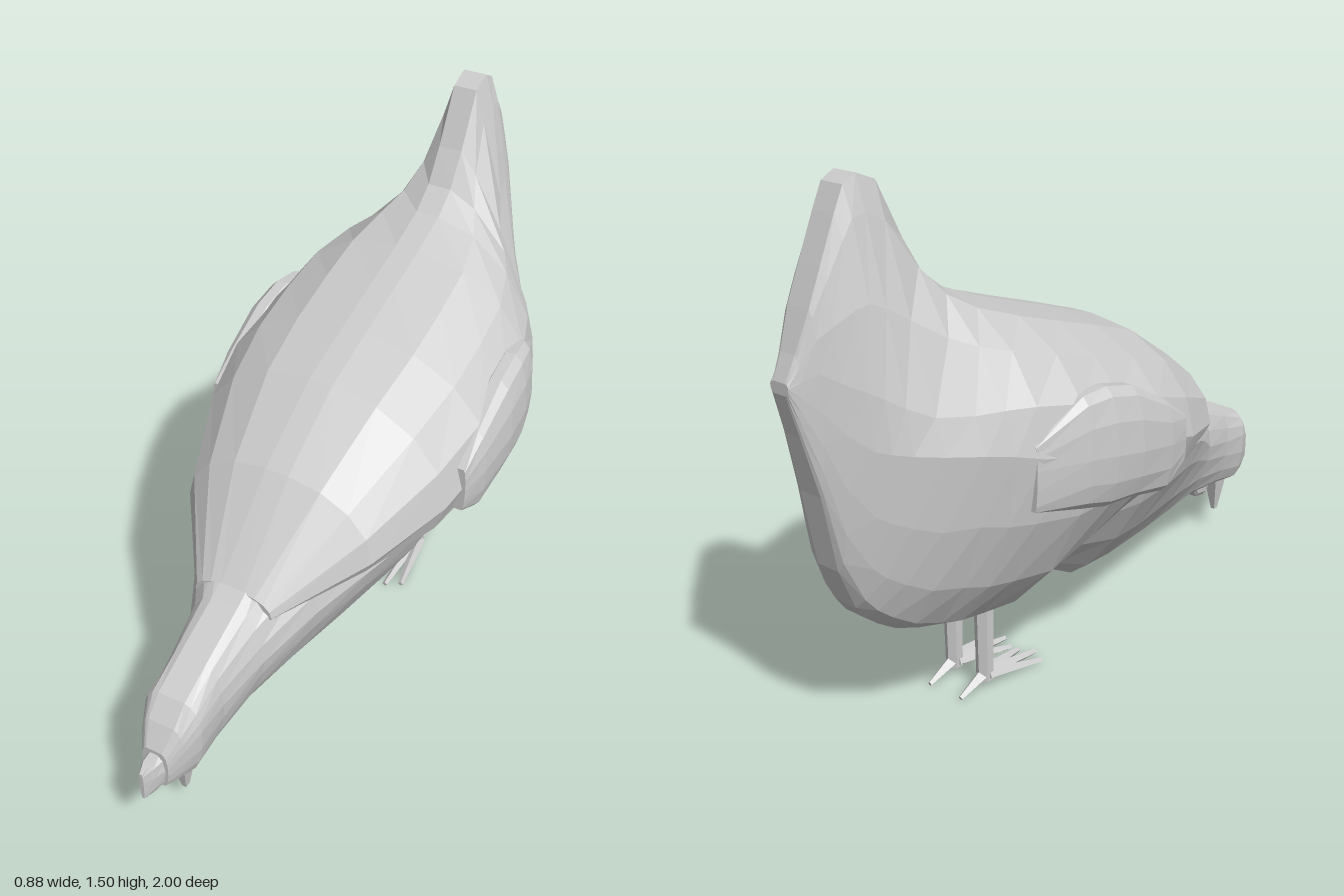
import * as THREE from 'three';

const mat = new THREE.MeshStandardMaterial({ color: 0xcccccc, flatShading: true, side: THREE.DoubleSide });

function add(parent, name, geometry) {
  const mesh = new THREE.Mesh(geometry, mat);
  mesh.name = name;
  parent.add(mesh);
  return mesh;
}

// Skin over rounded cross-sections, listed from front (+z) to back.
// Section: [z, bottom, top, halfWidth, widestY, upperPower, lowerPower, centreX]
// Power 1 is an ellipse, 2 a diamond, more is concave.
function loft(sections, flat = 0.03, steps = 4) {
  const pos = [], idx = [];
  const n = (steps * 2 + 1) * 2;
  for (const [z, bottom, top, w, mid, up = 1, low = 1, cx = 0] of sections) {
    const f = Math.min(flat, w * 0.6);
    const side = [];
    for (let k = -steps; k <= steps; k++) {
      const a = (k / steps) * Math.PI / 2;
      const e = k < 0 ? up : low;
      const x = f + (w - f) * Math.pow(Math.max(0, Math.cos(a)), e);
      const s = Math.pow(Math.abs(Math.sin(a)), e);
      side.push([x, k < 0 ? mid + (top - mid) * s : mid - (mid - bottom) * s]);
    }
    for (const [x, y] of side) pos.push(cx + x, y, z);
    for (const [x, y] of side.reverse()) pos.push(cx - x, y, z);
  }
  const last = sections.length - 1;
  for (let i = 0; i < last; i++) {
    for (let j = 0; j < n; j++) {
      const a = i * n + j, b = i * n + (j + 1) % n;
      idx.push(a, b, a + n, b, b + n, a + n);
    }
  }
  // End caps
  for (const [row, front] of [[0, true], [last, false]]) {
    const [z, , , , mid, , , cx = 0] = sections[row];
    const c = pos.length / 3;
    pos.push(cx, mid, z);
    for (let j = 0; j < n; j++) {
      const a = row * n + j, b = row * n + (j + 1) % n;
      if (front) idx.push(c, b, a); else idx.push(c, a, b);
    }
  }
  const g = new THREE.BufferGeometry();
  g.setAttribute('position', new THREE.Float32BufferAttribute(pos, 3));
  g.setIndex(idx);
  const flatGeo = g.toNonIndexed();
  flatGeo.computeVertexNormals();
  return flatGeo;
}

// Tapered rod between two points
function rod(parent, name, from, to, r0, r1, sides = 5) {
  const a = new THREE.Vector3(...from), b = new THREE.Vector3(...to);
  const d = b.clone().sub(a);
  const mesh = add(parent, name, new THREE.CylinderGeometry(r1, r0, d.length(), sides));
  mesh.position.copy(a).add(b).multiplyScalar(0.5);
  mesh.quaternion.setFromUnitVectors(new THREE.Vector3(0, 1, 0), d.normalize());
  return mesh;
}

export function createModel() {
  const hen = new THREE.Group();
  hen.name = 'hen';

  // Back, rump and upright tail; its front edge overhangs the neck
  add(hen, 'bodyAndTail', loft([
    [0.56, 0.50, 0.57, 0.12, 0.52],
    [0.33, 0.52, 0.80, 0.29, 0.61],
    [0.10, 0.44, 0.95, 0.385, 0.67, 1, 1.1],
    [-0.08, 0.38, 1.015, 0.42, 0.73, 1, 1.2],
    [-0.24, 0.31, 1.07, 0.42, 0.76, 1, 1.2],
    [-0.38, 0.24, 1.12, 0.405, 0.78, 1, 1.2],
    [-0.50, 0.255, 1.17, 0.36, 0.80, 1.1, 1.15],
    [-0.57, 0.265, 1.225, 0.325, 0.82, 1.35, 1.1],
    [-0.63, 0.28, 1.32, 0.285, 0.83, 1.7, 1.1],
    [-0.71, 0.315, 1.475, 0.23, 0.84, 2, 1],
    [-0.77, 0.355, 1.50, 0.185, 0.85, 1.8, 1],
    [-0.81, 0.39, 1.48, 0.155, 0.86, 1.6, 1],
    [-0.84, 0.43, 1.42, 0.13, 0.87, 1.4, 1],
    [-0.89, 0.55, 1.31, 0.09, 0.92, 1.2, 1],
    [-0.93, 0.76, 1.22, 0.06, 0.98, 1, 1],
    [-0.97, 0.92, 1.12, 0.04, 1.02, 1, 1],
    [-1.0, 1.03, 1.06, 0.03, 1.05, 1, 1],
  ], 0.035));

  // Head, neck and narrow breast
  add(hen, 'headNeckAndBreast', loft([
    [0.94, 0.20, 0.32, 0.04, 0.27],
    [0.90, 0.20, 0.38, 0.065, 0.31],
    [0.85, 0.185, 0.43, 0.088, 0.35],
    [0.75, 0.20, 0.48, 0.09, 0.36, 1, 1.2],
    [0.60, 0.21, 0.55, 0.12, 0.40, 1.1, 1.4],
    [0.45, 0.195, 0.63, 0.195, 0.49, 1, 1.5],
    [0.30, 0.18, 0.72, 0.275, 0.56, 1, 1.6],
    [0.10, 0.175, 0.75, 0.33, 0.58, 1, 1.6],
    [0.00, 0.18, 0.72, 0.32, 0.56, 1, 1.6],
    [-0.13, 0.25, 0.70, 0.25, 0.52, 1, 1.5],
    [-0.26, 0.34, 0.60, 0.15, 0.48],
  ], 0.04));

  // Beak
  add(hen, 'beak', loft([
    [1.0, 0.20, 0.29, 0.006, 0.26],
    [0.97, 0.20, 0.305, 0.022, 0.26],
    [0.93, 0.20, 0.31, 0.034, 0.26],
  ], 0.012, 2));

  // Hanging wattle and throat lobe
  const wattle = add(hen, 'wattle', new THREE.CylinderGeometry(0.05, 0.012, 0.14, 4));
  wattle.geometry.rotateY(Math.PI / 4);
  wattle.scale.x = 0.75;
  wattle.position.set(0, 0.14, 0.825);
  add(hen, 'throatLobe', loft([
    [0.785, 0.19, 0.24, 0.015, 0.22],
    [0.73, 0.16, 0.25, 0.03, 0.21],
    [0.69, 0.165, 0.25, 0.03, 0.21],
    [0.66, 0.21, 0.25, 0.02, 0.23],
  ], 0.015, 2));

  for (const s of [1, -1]) {
    const side = s > 0 ? 'left' : 'right';

    // Folded wing, a slim pad along the flank
    add(hen, side + 'Wing', loft([
      [0.03, 0.62, 0.76, 0.02, 0.69, 1, 1, s * 0.388],
      [-0.06, 0.57, 0.83, 0.048, 0.71, 1, 1, s * 0.38],
      [-0.20, 0.60, 0.91, 0.062, 0.74, 1, 1, s * 0.376],
      [-0.30, 0.61, 0.935, 0.06, 0.76, 1, 1, s * 0.372],
      [-0.38, 0.63, 0.93, 0.05, 0.77, 1, 1, s * 0.363],
      [-0.52, 0.66, 0.84, 0.02, 0.77, 1, 1, s * 0.33],
    ], 0.015, 3));

    // Leg with three front toes and one back toe
    const leg = new THREE.Group();
    leg.name = side + 'Leg';
    leg.position.set(s * 0.057, 0, -0.4);
    hen.add(leg);
    rod(leg, 'shank', [0, 0.025, 0], [0, 0.3, 0], 0.024, 0.028, 6);
    for (const t of [-1, 0, 1]) {
      rod(leg, 'frontToe', [t * 0.01, 0.042, 0], [t * 0.043, 0.01, t === 0 ? 0.215 : 0.19], 0.02, 0.008, 4);
    }
    rod(leg, 'backToe', [0, 0.045, 0], [0, 0.01, -0.1], 0.02, 0.007, 4);
  }
  return hen;
}
